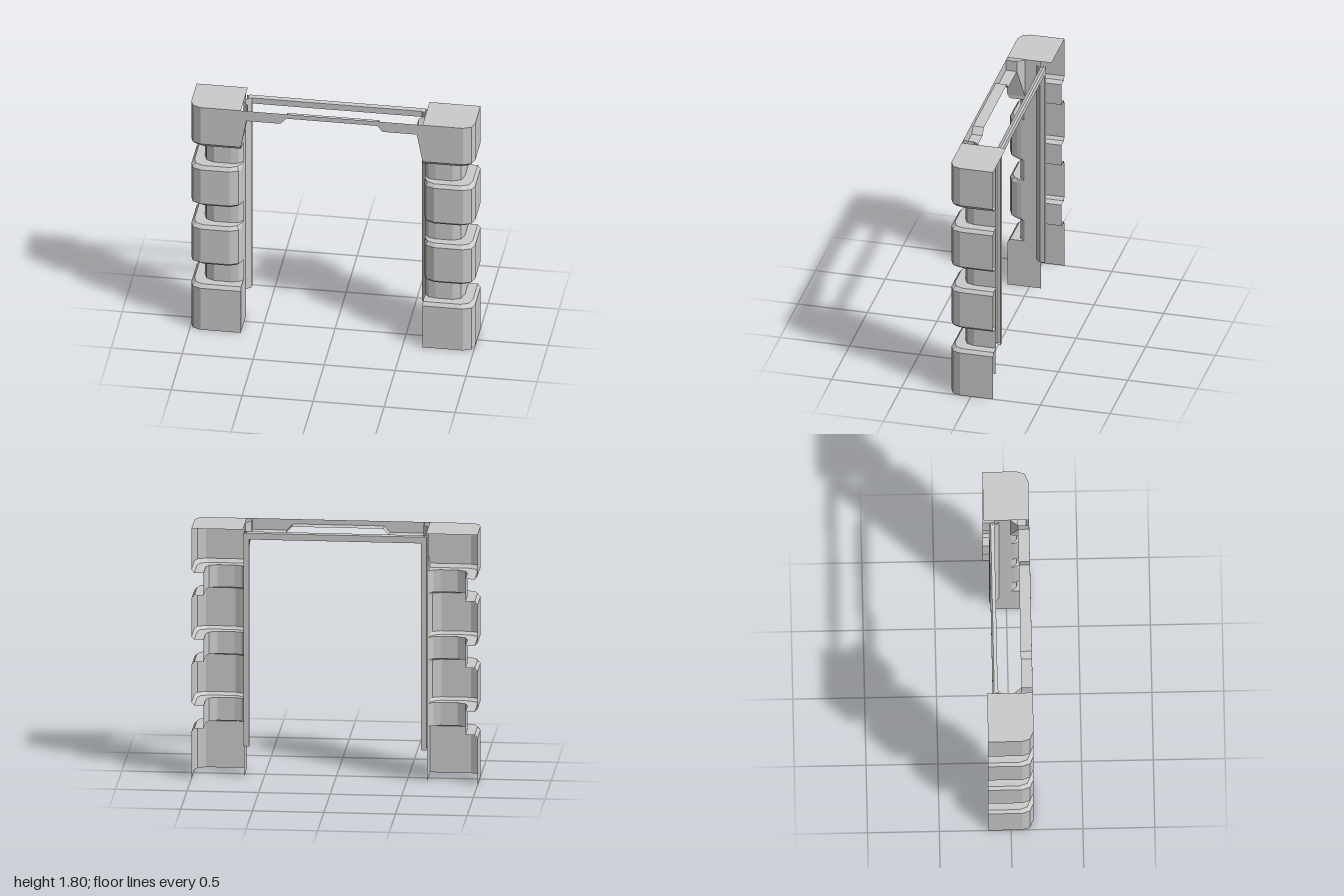
import * as THREE from 'three';

const material = new THREE.MeshStandardMaterial({ color: 0xcccccc, flatShading: true, side: THREE.DoubleSide });

// Skin a series of equal-length rings of [x, y, z] points
function loft(name, rings) {
  const n = rings[0].length;
  const index = [];
  for (let i = 0; i < rings.length - 1; i++) {
    for (let j = 0; j < n - 1; j++) {
      const a = i * n + j, b = a + n;
      index.push(a, b, a + 1, a + 1, b, b + 1);
    }
  }
  const geometry = new THREE.BufferGeometry();
  geometry.setAttribute('position', new THREE.Float32BufferAttribute(rings.flat(2), 3));
  geometry.setIndex(index);
  geometry.computeVertexNormals();
  return named(name, geometry);
}

function named(name, geometry) {
  const mesh = new THREE.Mesh(geometry, material);
  mesh.name = name;
  return mesh;
}

// Pillar sections: outer side, rounded corner, front, inner corner, inner wall; open at the back
function section(y, xo, zf, inner) {
  const points = [
    [xo, -0.16], [xo, zf - 0.08], [xo - 0.018, zf - 0.025], [xo - 0.075, zf], [0.72, zf],
    ...inner, [0.64, 0.03], [0.64, -0.085],
  ];
  return points.map(([x, z]) => [x, y, z]);
}
const rounded = (y, inset = 0) => section(y, 1 - inset, 0.158 - inset,
  [[0.66 + inset / 2, 0.133 - inset], [0.645, 0.09 - inset], [0.64, 0.06 - inset]]);
const square = (y, inset = 0, xi = 0.64) => section(y, 1 - inset, 0.158 - inset,
  [[0.66, 0.158 - inset], [xi, 0.158 - inset], [xi, 0.08]]);
const groove = (y) => section(y, 0.915, 0.08, [[0.67, 0.07], [0.65, 0.05], [0.64, 0.035]]);

function pillar() {
  const group = new THREE.Group();
  const rings = [square(0), square(0.335), square(0.36, 0.02), groove(0.36)];
  for (const [low, high] of [[0.525, 0.84], [1.0, 1.32]]) {
    rings.push(groove(low), rounded(low, 0.02), rounded(low + 0.02),
      rounded(high - 0.025), rounded(high, 0.02), groove(high));
  }
  // Top block flares inward to meet the lintel
  rings.push(groove(1.48), square(1.48, 0.02), square(1.505),
    square(1.72, 0, 0.6), square(1.8, 0, 0.6));
  group.add(loft('pillarShell', rings));

  // Flat cap on the pillar
  const outline = section(0, 1, 0.158, [[0.64, 0.158]]).slice(0, 6);
  outline.push([0.64, 0, -0.16]);
  const cap = new THREE.ShapeGeometry(new THREE.Shape(outline.map(([x, , z]) => new THREE.Vector2(x, -z))));
  cap.rotateX(-Math.PI / 2).translate(0, 1.8, 0);
  group.add(named('pillarCap', cap));

  // Bevelled door jamb strip with a closed bottom
  const jamb = [[0.64, -0.05], [0.6, -0.085], [0.6, -0.12], [0.64, -0.12]];
  group.add(loft('doorJamb', [
    jamb.map(() => [0.62, 0.23, -0.09]),
    jamb.map(([x, z]) => [x, 0.23, z]),
    jamb.map(([x, z]) => [x, 1.765, z]),
    jamb.map(() => [0.62, 1.765, -0.09]),
  ]));
  return group;
}

export function createModel() {
  const model = new THREE.Group();
  model.name = 'doorFrame';

  const left = pillar();
  left.name = 'leftPillar';
  const right = pillar();
  right.name = 'rightPillar';
  right.scale.x = -1;
  model.add(left, right);

  // Lintel front with a shallow notch, and the soffit beneath it
  const edge = [[-0.6, 1.72], [-0.36, 1.72], [-0.32, 1.765], [0.32, 1.765], [0.36, 1.72], [0.6, 1.72]];
  const face = new THREE.Shape([...edge, [0.6, 1.8], [-0.6, 1.8]].map(([x, y]) => new THREE.Vector2(x, y)));
  model.add(named('lintelFront', new THREE.ShapeGeometry(face).translate(0, 0, 0.158)));
  model.add(loft('lintelSoffit', [0.158, 0.08].map((z) => edge.map(([x, y]) => [x, y, z]))));

  // Rear rail between the jambs
  const rail = [[1.72, -0.085], [1.765, -0.085], [1.775, -0.11], [1.765, -0.122], [1.72, -0.122], [1.72, -0.085]];
  model.add(loft('rearRail', [-0.62, 0.62].map((x) => rail.map(([y, z]) => [x, y, z]))));

  return model;
}
